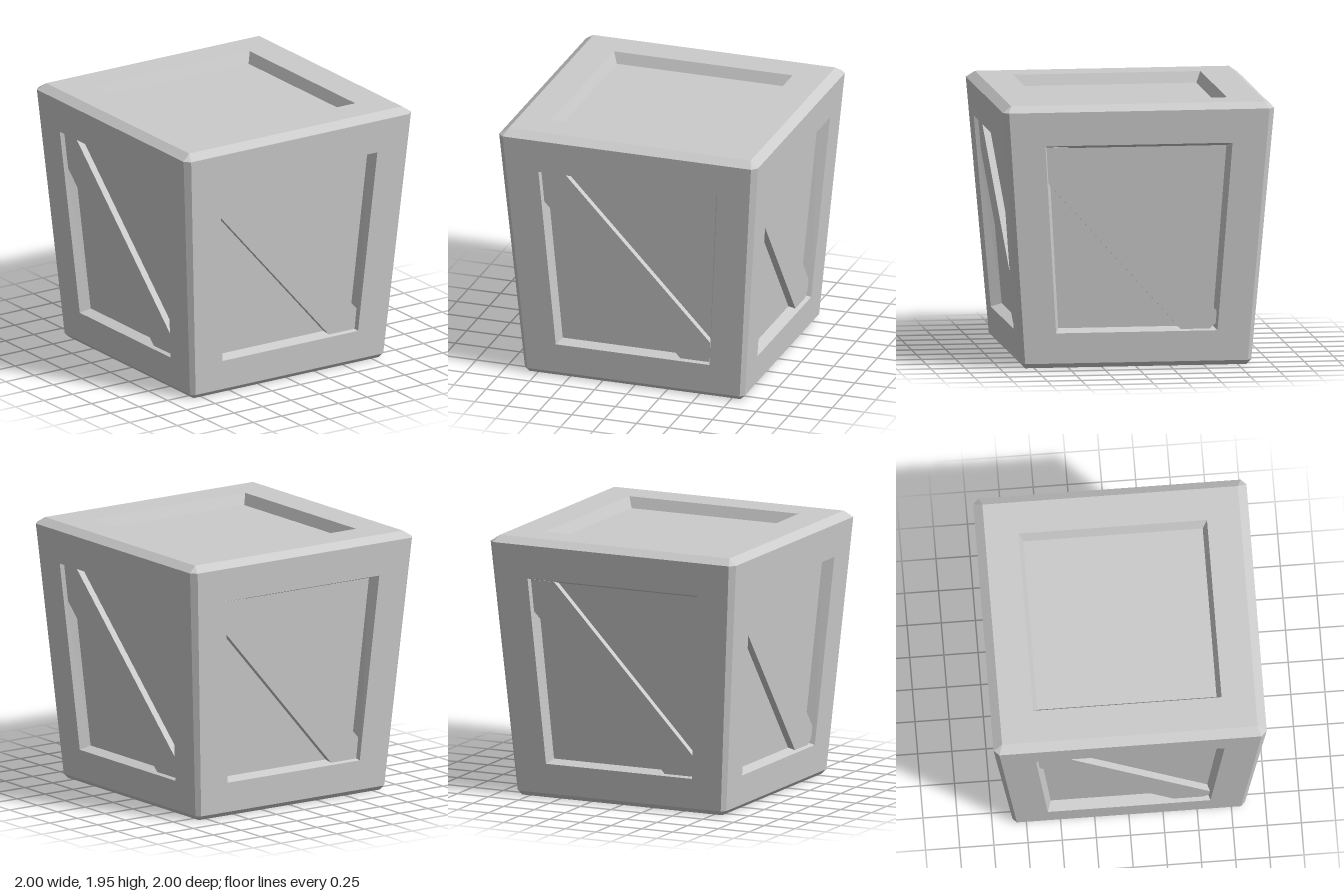
import * as THREE from 'three';

const material = new THREE.MeshStandardMaterial({ color: 0xcccccc, flatShading: true });

// Flat-shaded mesh from convex faces, corners counter-clockwise seen from outside
function facesMesh(name, faces) {
  const pos = [];
  for (const f of faces) {
    for (let i = 1; i < f.length - 1; i++) pos.push(...f[0], ...f[i], ...f[i + 1]);
  }
  const geo = new THREE.BufferGeometry();
  geo.setAttribute('position', new THREE.Float32BufferAttribute(pos, 3));
  geo.computeVertexNormals();
  const mesh = new THREE.Mesh(geo, material);
  mesh.name = name;
  return mesh;
}

// Closed strip of quads between two loops of equal length
const band = (a, b) => a.map((p, i) => {
  const j = (i + 1) % a.length;
  return [p, a[j], b[j], b[i]];
});

// Frame around an opening, sloped recess walls and the sunken panel
const recessed = (outer, opening, inner) => [...band(outer, opening), ...band(opening, inner), inner];

// Slanted plane of the side walls
const Y0 = 0.035, Y1 = 1.905;
const wallZ = (y) => 0.85 + (y - Y0) * (0.15 / (Y1 - Y0));
const onWall = (x, y, depth = 0) => [x, y, wallZ(y) - depth];
const trapezoid = (wLow, yLow, wHigh, yHigh, depth) => [
  onWall(-wLow, yLow, depth), onWall(wLow, yLow, depth),
  onWall(wHigh, yHigh, depth), onWall(-wHigh, yHigh, depth)];

// Horizontal square loop, facing up (or down when flipped)
const square = (h, y, down) => {
  const s = [[-h, y, h], [h, y, h], [h, y, -h], [-h, y, -h]];
  return down ? s.reverse() : s;
};

// Diagonal board outline on the wall plane; shift moves its long edges slightly
function boardFaces(shift) {
  const outline = [
    [-0.49 - shift, 1.643], [-0.678, 1.643], [-0.662, 1.405 - shift],
    [0.36 - shift, 0.268], [0.57 - shift, 0.268], [0.585, 0.28 + shift], [0.592, 0.43 - shift]];
  const front = outline.map(([x, y]) => onWall(x, y, 0.03));
  const back = outline.map(([x, y]) => onWall(x, y, 0.09));
  return [front, ...band(back, front)];
}

export function createModel() {
  const crate = new THREE.Group();
  crate.name = 'crate';

  const topH = 0.935, botH = 0.815, H = 1.95, edgeT = 0.96, edgeB = 0.82;

  for (let i = 0; i < 4; i++) {
    const side = new THREE.Group();
    side.name = ['frontSide', 'leftSide', 'backSide', 'rightSide'][i];
    side.rotation.y = i * Math.PI / 2;

    // Framed wall with sunken panel
    side.add(facesMesh('sidePanel', recessed(
      trapezoid(edgeB, Y0, edgeT, Y1, 0),
      trapezoid(0.595, 0.26, 0.69, 1.655, 0),
      trapezoid(0.568, 0.287, 0.656, 1.628, 0.08))));

    // Chamfers along the top, bottom and one upright edge, with corner facets
    const tl = [-edgeT, Y1, 1], tr = [edgeT, Y1, 1], bl = [-edgeB, Y0, 0.85], br = [edgeB, Y0, 0.85];
    const nextT = [1, Y1, edgeT], nextB = [0.85, Y0, edgeB];
    const lidL = [-topH, H, topH], lidR = [topH, H, topH];
    const baseL = [-botH, 0, botH], baseR = [botH, 0, botH];
    side.add(facesMesh('edgeBevels', [
      [tl, tr, lidR, lidL],
      [baseL, baseR, br, bl],
      [br, nextB, nextT, tr],
      [tr, nextT, lidR],
      [br, baseR, nextB]]));

    // Diagonal brace
    side.add(facesMesh('diagonalBoard', boardFaces(i % 2 ? 0.03 : 0)));
    crate.add(side);
  }

  // Lid and base, each with a sunken panel
  crate.add(facesMesh('topPanel', recessed(square(topH, H), square(0.69, H), square(0.656, H - 0.08))));
  crate.add(facesMesh('bottomPanel', recessed(
    square(botH, 0, true), square(0.595, 0, true), square(0.568, 0.08, true))));

  return crate;
}
